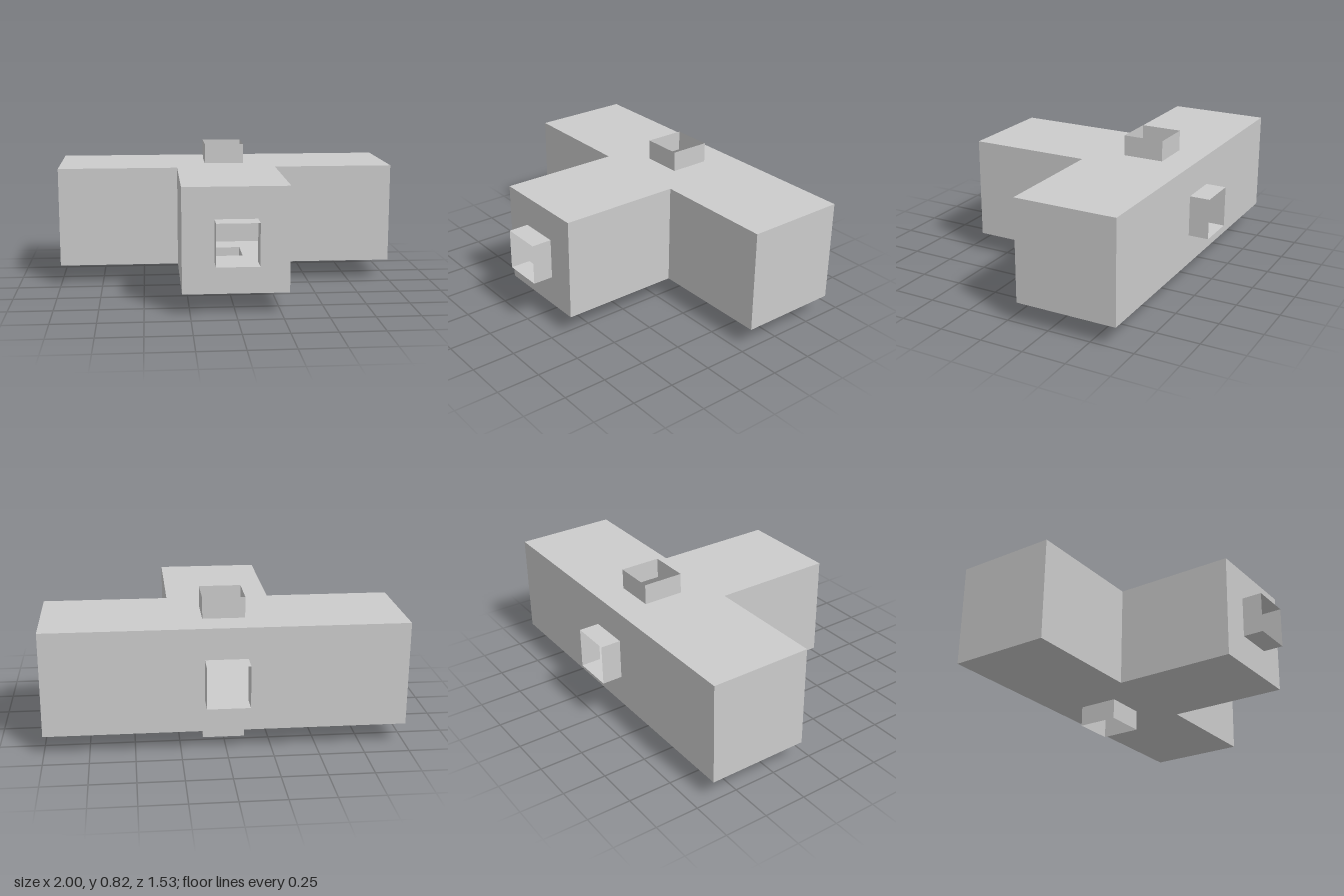
import * as THREE from 'three';

const U = 2 / 17; // one module of the design grid

// T-shaped plan as [x, z] corners, ordered so every wall faces outward
const PLAN = [
  [-2.5, 5.5], [2.5, 5.5], [2.5, -0.5], [8.5, -0.5],
  [8.5, -5.5], [-8.5, -5.5], [-8.5, -0.5], [-2.5, -0.5],
];
const BOTTOM = 1, TOP = 6, MIDDLE = 3.5, BAR_Z = -3;

const polygon = (points) => points.map(([x, y]) => new THREE.Vector2(x, y));
const square = (cx, cy) =>
  new THREE.Path(polygon([[cx - 1, cy - 1], [cx - 1, cy + 1], [cx + 1, cy + 1], [cx + 1, cy - 1]]));

export function createModel() {
  const model = new THREE.Group();
  model.name = 'teeJunction';
  const body = new THREE.Group();
  body.name = 'hollowBody';
  model.add(body);
  const material = new THREE.MeshStandardMaterial({
    color: 0xcccccc, flatShading: true, side: THREE.DoubleSide,
  });

  const add = (parent, name, geometry) => {
    const mesh = new THREE.Mesh(geometry, material);
    mesh.name = name;
    parent.add(mesh);
    return mesh;
  };

  // Floor and ceiling: the plan with a square opening in the crossbar
  for (const [name, y, s] of [['floor', BOTTOM, 1], ['ceiling', TOP, -1]]) {
    const shape = new THREE.Shape(polygon(PLAN.map(([x, z]) => [x, s * z])));
    shape.holes.push(square(0, s * BAR_Z));
    const panel = add(body, name, new THREE.ShapeGeometry(shape));
    panel.rotation.x = s * Math.PI / 2;
    panel.position.y = y;
  }

  // Walls along the plan; the front and back ones have an opening
  const names = ['frontWall', 'stemLeftWall', 'leftArmFrontWall', 'leftEndWall',
    'backWall', 'rightEndWall', 'rightArmFrontWall', 'stemRightWall'];
  PLAN.forEach(([ax, az], i) => {
    const [bx, bz] = PLAN[(i + 1) % PLAN.length];
    const w = Math.hypot(bx - ax, bz - az) / 2, h = (TOP - BOTTOM) / 2;
    const shape = new THREE.Shape(polygon([[-w, -h], [w, -h], [w, h], [-w, h]]));
    if (i === 0 || i === 4) shape.holes.push(square(0, 0));
    const wall = add(body, names[i], new THREE.ShapeGeometry(shape));
    wall.position.set((ax + bx) / 2, MIDDLE, (az + bz) / 2);
    wall.rotation.y = Math.atan2(az - bz, bx - ax);
  });

  // Short open square collars around the four openings
  const collar = new THREE.CylinderGeometry(Math.SQRT2, Math.SQRT2, 1, 4, 1, true).rotateY(Math.PI / 4);
  for (const [name, y, z, tilt] of [
    ['topCollar', TOP + 0.5, BAR_Z, 0],
    ['bottomCollar', BOTTOM - 0.5, BAR_Z, 0],
    ['frontCollar', MIDDLE, 6, Math.PI / 2],
    ['backCollar', MIDDLE, -6, Math.PI / 2],
  ]) {
    const mesh = add(model, name, collar);
    mesh.position.set(0, y, z);
    mesh.rotation.x = tilt;
  }

  model.scale.setScalar(U);
  return model;
}
